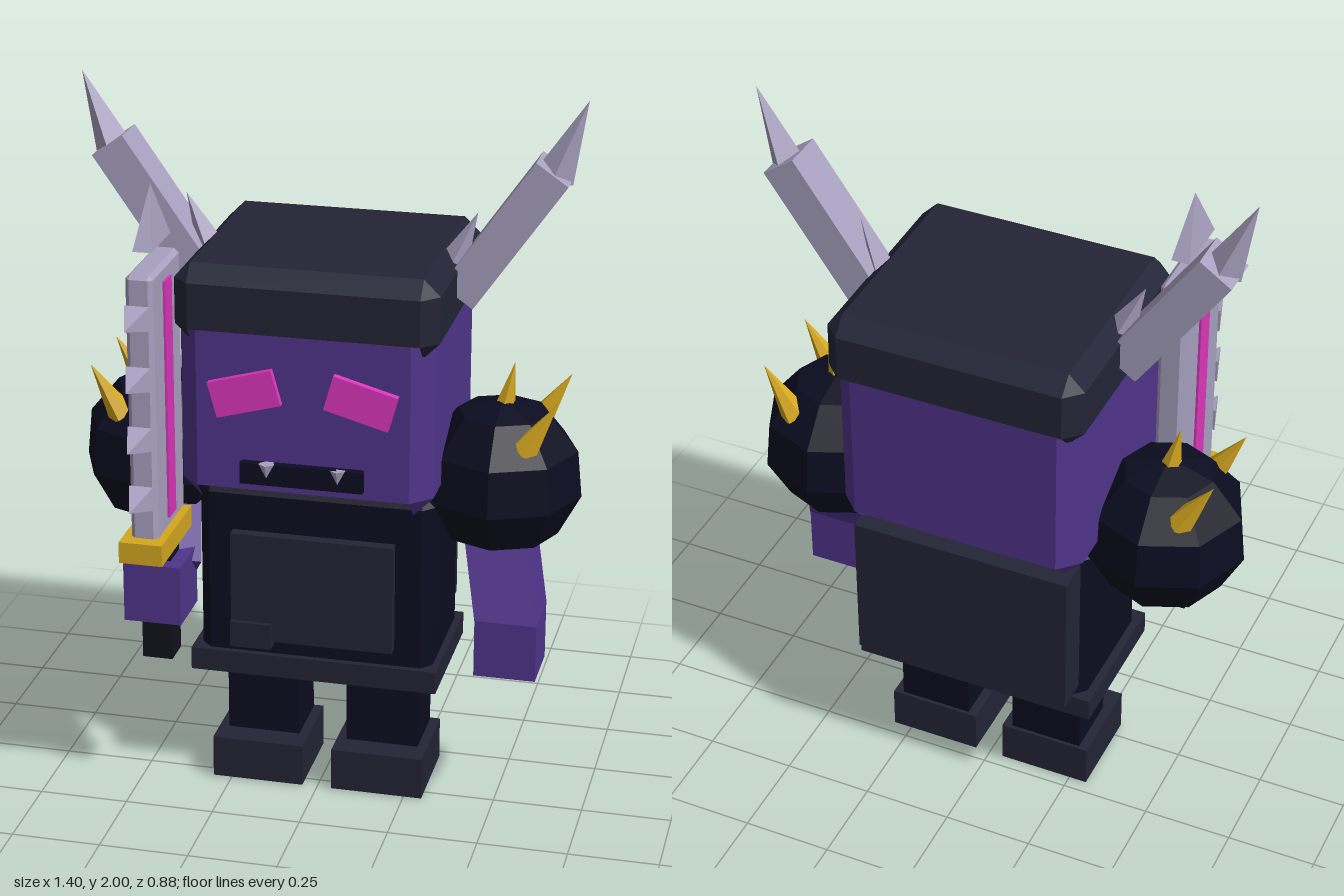
import * as THREE from 'three';

const mat = (name, color, extra = {}) => {
  const m = new THREE.MeshStandardMaterial({ color, flatShading: true, side: THREE.DoubleSide, ...extra });
  m.name = name;
  return m;
};

// Bevelled box with open underside; corner bevels hang below y = 0
function openBevelBox(w, h, d, b) {
  const X = w / 2, Z = d / 2, top = [], upper = [], lower = [], drop = [];
  for (const [sx, sz, flip] of [[1, 1, 0], [1, -1, 1], [-1, -1, 0], [-1, 1, 1]]) {
    const side = [sx * X, sz * (Z - b)], end = [sx * (X - b), sz * Z];
    for (const [x, z] of flip ? [side, end] : [end, side]) {
      top.push([sx * (X - b), h, sz * (Z - b)]);
      upper.push([x, h - b, z]);
      lower.push([x, 0, z]);
    }
    drop.push([sx * (X - b), -b, sz * (Z - b)]);
  }
  const p = [];
  const tri = (...v) => v.forEach((q) => p.push(...q));
  for (let i = 0; i < 8; i++) {
    const j = (i + 1) % 8;
    for (const [a, c] of [[lower, upper], [upper, top]]) {
      tri(a[i], a[j], c[j]);
      if (c !== top || i % 2) tri(a[i], c[j], c[i]);
    }
    if (i % 2 === 0) tri(drop[i / 2], lower[j], lower[i]);
  }
  tri(top[0], top[2], top[4]);
  tri(top[0], top[4], top[6]);
  const g = new THREE.BufferGeometry();
  g.setAttribute('position', new THREE.Float32BufferAttribute(p, 3));
  g.computeVertexNormals();
  return g;
}

export function createModel() {
  const root = new THREE.Group();
  root.name = 'hornedWarrior';

  const purple = mat('purple skin', 0x50348a);
  const slate = mat('slate armour', 0x232436);
  const navy = mat('dark navy', 0x0b0c20);
  const steel = mat('pale steel', 0xa8a1c0);
  const gold = mat('gold', 0xd4a71f);
  const pink = mat('glowing pink', 0xdb36bb);
  const black = mat('grip black', 0x11111c);

  const add = (name, geo, m, x = 0, y = 0, z = 0) => {
    const mesh = new THREE.Mesh(geo, m);
    mesh.name = name;
    mesh.position.set(x, y, z);
    root.add(mesh);
    return mesh;
  };
  // Box from its extents
  const box = (name, m, x0, x1, y0, y1, z0, z1) =>
    add(name, new THREE.BoxGeometry(x1 - x0, y1 - y0, z1 - z0), m, (x0 + x1) / 2, (y0 + y1) / 2, (z0 + z1) / 2);
  // Geometry that stands along y, stretched from point a to point b
  const between = (name, m, a, b, make) => {
    const A = new THREE.Vector3(...a), dir = new THREE.Vector3(...b).sub(A);
    const mesh = add(name, make(dir.length()), m);
    mesh.position.copy(A).addScaledVector(dir, 0.5);
    mesh.quaternion.setFromUnitVectors(new THREE.Vector3(0, 1, 0), dir.normalize());
    return mesh;
  };
  const spike = (name, m, a, b, r, sides) =>
    between(name, m, a, b, (len) => new THREE.ConeGeometry(r, len, sides));

  const cz = -0.12;

  // Head and cap
  add('head', openBevelBox(0.69, 0.5, 0.62, 0.055), purple, -0.003, 0.96, cz);
  add('cap', openBevelBox(0.715, 0.172, 0.65, 0.045), slate, 0, 1.405, cz - 0.002);

  // Face
  for (const s of [-1, 1]) {
    const eye = add('eye', new THREE.BoxGeometry(0.18, 0.1, 0.03), pink, s * 0.158, 1.238, 0.195);
    eye.rotation.z = -s * 0.27;
    spike('tooth', steel, [s * 0.097, 1.045, 0.205], [s * 0.097, 0.985, 0.205], 0.023, 5);
  }
  box('mouth', navy, -0.17, 0.165, 0.985, 1.045, 0.15, 0.213);

  // Torso
  add('torso', openBevelBox(0.655, 0.54, 0.375, 0.03), navy, 0, 0.38, cz);
  box('belt', slate, -0.35, 0.345, 0.355, 0.42, -0.32, 0.085);
  box('chestPanel', slate, -0.23, 0.225, 0.47, 0.785, 0.04, 0.1);
  box('chestPouch', slate, -0.23, -0.115, 0.45, 0.525, 0.04, 0.112);
  box('backPack', slate, -0.31, 0.31, 0.45, 0.88, -0.395, -0.3);

  for (const s of [-1, 1]) {
    // Legs
    const leg = [s * 0.172 - 0.103, s * 0.172 + 0.103];
    box('leg', navy, ...leg, 0, 0.34, -0.205, -0.03);
    box('foot', slate, s * 0.172 - 0.13, s * 0.172 + 0.13, 0.003, 0.125, -0.215, 0.045);

    // Shoulders with spikes
    add('shoulder', new THREE.SphereGeometry(0.225, 8, 4, 0, Math.PI * 2, 0, Math.PI * 0.75), navy, s * 0.48, 0.94, cz);
    spike('shoulderSpike', gold, [s * 0.48, 1.12, cz], [s * 0.51, 1.27, cz], 0.035, 6);
    for (const k of [-1, 1]) {
      spike('shoulderSpike', gold, [s * 0.56, 1.06, cz + k * 0.115], [s * 0.648, 1.205, cz + k * 0.118], 0.04, 6);
    }

    // Horns
    const horn = add('horn', new THREE.BoxGeometry(0.105, 0.43, 0.117), steel, s * 0.48, 1.635, cz);
    horn.rotation.z = -s * 0.607;
    spike('hornTip', steel, [s * 0.6, 1.79, cz], [s * 0.685, 2, cz], 0.053, 4);
    spike('hornSpur', steel, [s * 0.32, 1.5, cz], [s * 0.4, 1.68, cz], 0.05, 4);
  }

  // Left arm: a box sheared down towards the forearm
  const upper = new THREE.BoxGeometry(0.17, 0.27, 0.17);
  const pos = upper.attributes.position;
  for (let i = 0; i < pos.count; i++) {
    const t = 0.5 - pos.getY(i) / 0.27;
    pos.setX(i, pos.getX(i) - 0.03 + t * 0.065);
    pos.setZ(i, pos.getZ(i) - 0.12 + t * 0.122);
  }
  upper.computeVertexNormals();
  add('leftUpperArm', upper, purple, 0.5, 0.725, 0);
  box('leftForearm', purple, 0.45, 0.62, 0.425, 0.592, -0.08, 0.085);

  // Right arm reaching forward
  between('rightUpperArm', purple, [-0.47, 0.88, -0.12], [-0.41, 0.66, 0.11],
    (len) => new THREE.BoxGeometry(0.16, len, 0.16));
  box('rightHand', purple, -0.49, -0.33, 0.565, 0.735, 0.085, 0.25);

  // Sword
  const sx = -0.41;
  box('swordGrip', black, sx - 0.042, sx + 0.042, 0.44, 0.79, 0.125, 0.21);
  box('swordGuard', gold, sx - 0.06, sx + 0.06, 0.78, 0.84, 0.06, 0.348);
  add('swordBlade', openBevelBox(0.075, 0.74, 0.262, 0.012), steel, sx, 0.838, 0.177);
  for (const s of [-1, 1]) {
    box('bladeStripe', pink, sx + s * 0.04 - 0.004, sx + s * 0.04 + 0.004, 0.865, 1.535, 0.15, 0.212);
  }
  for (let i = 0; i < 4; i++) {
    const tooth = new THREE.ConeGeometry(0.047, 0.112, 4).rotateY(Math.PI / 4).rotateX(Math.PI / 2);
    add('bladeTooth', tooth, steel, sx, 0.965 + i * 0.168, 0.382);
  }
  const point = new THREE.ConeGeometry(0.127, 0.16, 4).rotateY(Math.PI / 4).scale(0.28, 1, 1);
  add('bladePoint', point, steel, sx, 1.71, 0.18);

  return root;
}
